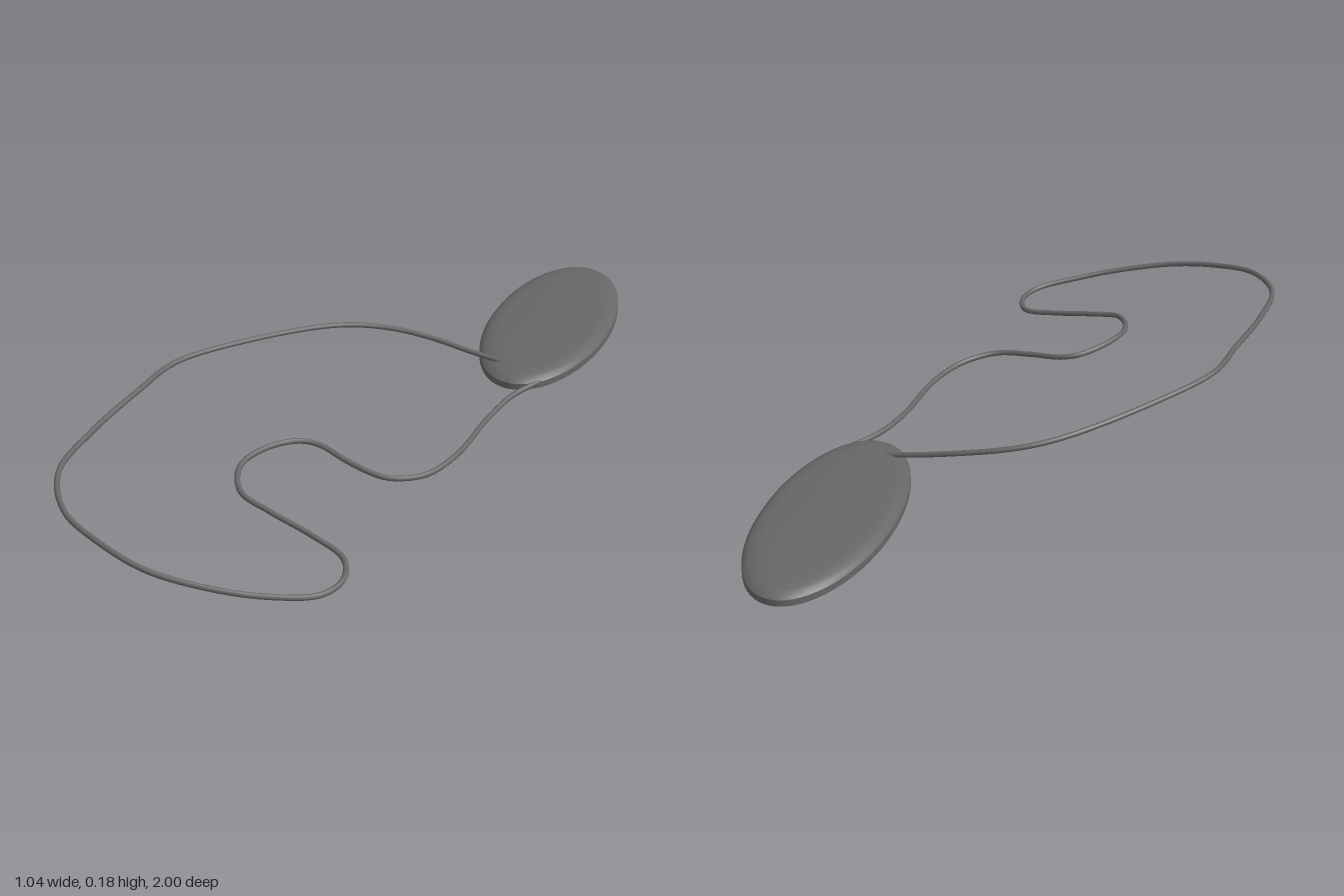
import * as THREE from 'three';

const material = new THREE.MeshStandardMaterial({ color: 0x666666 });

// Bent wire loop, traced from the plate around and back
const WIRE = [
  [0.3, 0.068, -0.315], [0.2, 0.084, -0.314], [0.1, 0.104, -0.312], [0, 0.121, -0.298],
  [-0.09, 0.134, -0.265], [-0.18, 0.146, -0.2], [-0.35, 0.162, 0.0], [-0.46, 0.169, 0.18],
  [-0.487, 0.166, 0.35], [-0.513, 0.154, 0.57], [-0.508, 0.144, 0.76], [-0.42, 0.127, 0.9],
  [-0.3, 0.104, 0.96], [-0.16, 0.075, 0.99], [0, 0.045, 0.965], [0.12, 0.023, 0.917],
  [0.22, 0.009, 0.85], [0.248, 0.008, 0.77], [0.215, 0.014, 0.685], [0.12, 0.035, 0.65],
  [0, 0.061, 0.625], [-0.09, 0.081, 0.597], [-0.135, 0.094, 0.5], [-0.11, 0.096, 0.4],
  [-0.05, 0.089, 0.323], [0, 0.081, 0.308], [0.1, 0.061, 0.335], [0.2, 0.045, 0.345],
  [0.28, 0.035, 0.285], [0.325, 0.035, 0.16], [0.343, 0.038, -0.05], [0.37, 0.045, -0.18],
  [0.42, 0.05, -0.28],
].map((p) => new THREE.Vector3(...p));

// Stretches a unit-radius profile of revolution into an ellipse
function ellipticLathe(profile, rx, rz) {
  const points = profile.map(([r, y]) => new THREE.Vector2(r, y));
  const g = new THREE.LatheGeometry(points, 64);
  g.scale(rx, 1, rz);
  g.computeVertexNormals();
  return g;
}

export function createModel() {
  const group = new THREE.Group();

  // Oval plate: flat underside, upright rim, softly rounded upper edge
  const plate = new THREE.Group();
  plate.name = 'ovalPlate';
  const sections = [
    ['plateUnderside', [[0, 0.035], [1, 0.035]]],
    ['plateRim', [[1, 0.035], [1, 0.053]]],
    ['plateTop', [[1, 0.053], [0.97, 0.061], [0.92, 0.067], [0.84, 0.072], [0.72, 0.0745], [0, 0.075]]],
  ];
  for (const [name, profile] of sections) {
    const mesh = new THREE.Mesh(ellipticLathe(profile, 0.172, 0.385), material);
    mesh.name = name;
    plate.add(mesh);
  }
  plate.position.set(0.346, 0, -0.615);
  group.add(plate);

  // Thin wire with both ends buried in the plate
  const curve = new THREE.CatmullRomCurve3(WIRE, false, 'centripetal');
  const wire = new THREE.Mesh(new THREE.TubeGeometry(curve, 240, 0.0075, 10), material);
  wire.name = 'wireLoop';
  group.add(wire);

  return group;
}
